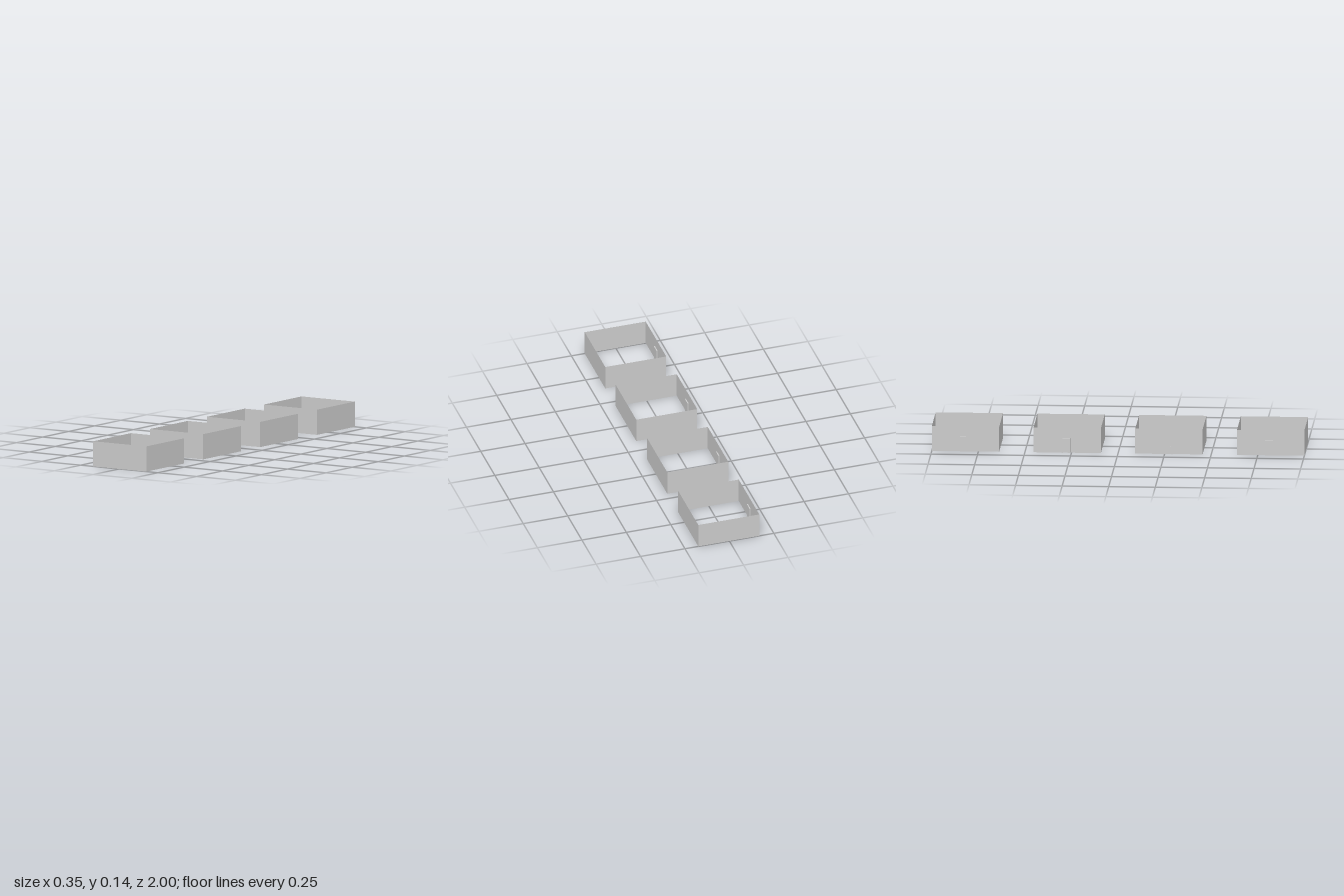
import * as THREE from 'three';

const material = new THREE.MeshStandardMaterial({ color: 0xcccccc, flatShading: true, side: THREE.DoubleSide });

const LEFT = 0.175, RIGHT = -0.168, HEIGHT = 0.1365, DEPTH = 0.3615, SPACING = 0.546;
const DOOR_W = 0.048, DOOR_H = 0.08, TRIM = 0.007;

function add(parent, name, geometry, x, y, z, turn = 0) {
  const mesh = new THREE.Mesh(geometry, material);
  mesh.name = name;
  mesh.position.set(x, y, z);
  mesh.rotation.y = turn;
  parent.add(mesh);
  return mesh;
}

// Door set through the right wall: trim, recessed panel and handle
function createDoor() {
  const door = new THREE.Group();
  door.name = 'door';
  const outer = -0.174, inner = -0.162, face = -0.1705;
  for (const s of [-1, 1]) {
    add(door, 'doorJamb', new THREE.BoxGeometry(inner - outer, DOOR_H, TRIM),
      (outer + inner) / 2, DOOR_H / 2, s * (DOOR_W - TRIM) / 2);
  }
  add(door, 'doorLintel', new THREE.BoxGeometry(inner - outer, TRIM, DOOR_W - 2 * TRIM),
    (outer + inner) / 2, DOOR_H - TRIM / 2, 0);
  add(door, 'doorPanel', new THREE.BoxGeometry(inner - face, DOOR_H - TRIM, DOOR_W - 2 * TRIM),
    (face + inner) / 2, (DOOR_H - TRIM) / 2, 0);
  add(door, 'doorHandle', new THREE.BoxGeometry(0.005, 0.002, 0.003), -0.173, 0.04, 0.012);
  return door;
}

// Room of four thin walls, open above and below
function createRoom() {
  const room = new THREE.Group();
  room.name = 'room';
  const width = LEFT - RIGHT, middle = (LEFT + RIGHT) / 2;
  const crossWall = new THREE.PlaneGeometry(width, HEIGHT);
  const sideWall = new THREE.PlaneGeometry(DEPTH, HEIGHT);
  add(room, 'frontWall', crossWall, middle, HEIGHT / 2, DEPTH / 2);
  add(room, 'backWall', crossWall, middle, HEIGHT / 2, -DEPTH / 2, Math.PI);
  add(room, 'leftWall', sideWall, LEFT, HEIGHT / 2, 0, Math.PI / 2);
  add(room, 'rightWall', sideWall, RIGHT, HEIGHT / 2, 0, -Math.PI / 2);
  const door = createDoor();
  door.position.z = -0.005;
  room.add(door);
  return room;
}

export function createModel() {
  const model = new THREE.Group();
  model.name = 'rowOfRooms';
  for (let i = 0; i < 4; i++) {
    const room = createRoom();
    room.position.z = (1.5 - i) * SPACING;
    model.add(room);
  }
  return model;
}
